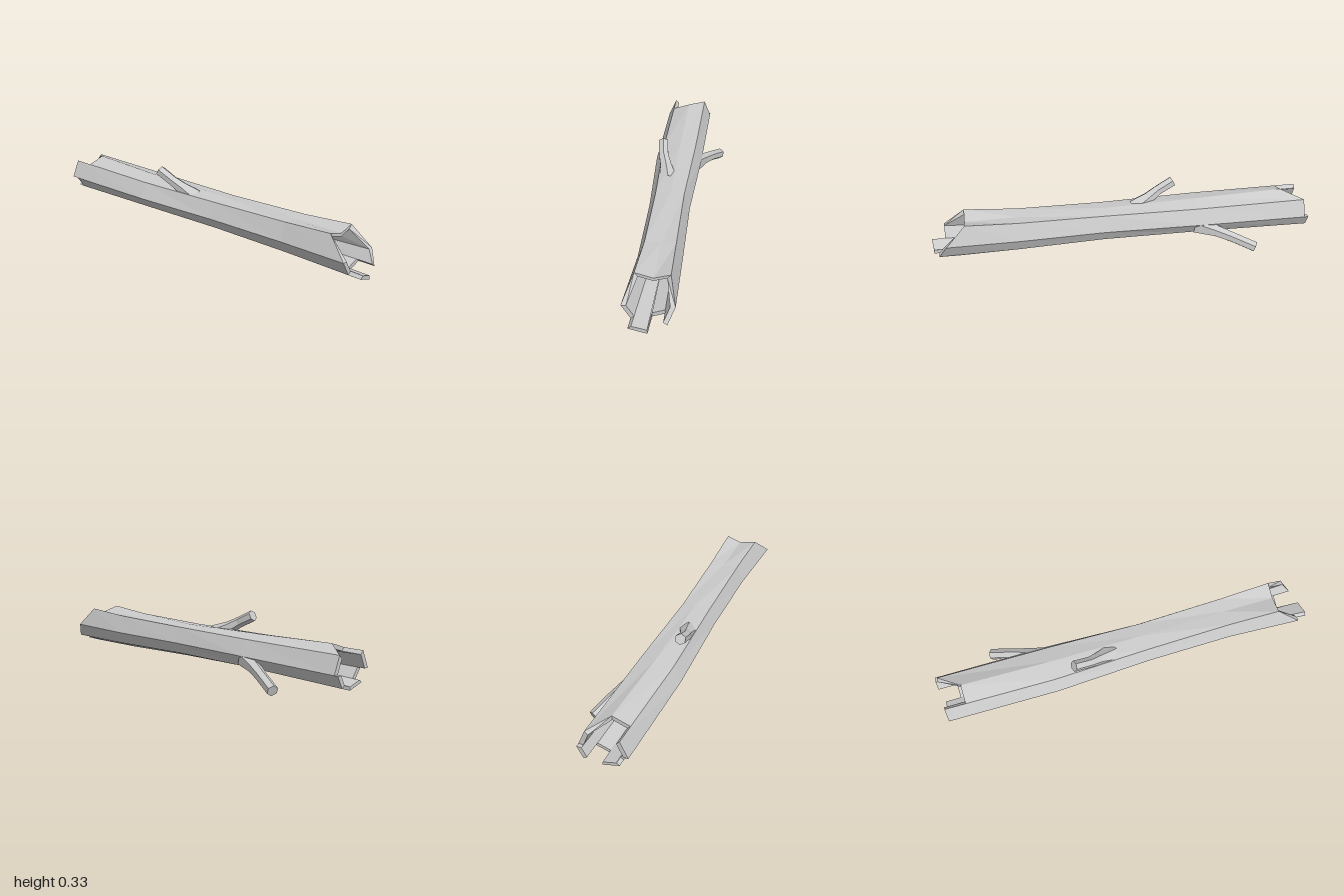
import * as THREE from 'three';

const material = new THREE.MeshStandardMaterial({ color: 0xcccccc, flatShading: true, side: THREE.DoubleSide });

// Trunk stations: x, back z, front z, bottom y, shoulder y, top ridge y
const stations = [
  [-1, -0.075, 0.175, 0.05, 0.226, 0.26],
  [-0.4, -0.072, 0.182, 0.062, 0.222, 0.24],
  [0.1, -0.055, 0.157, 0.058, 0.222, 0.23],
  [0.55, -0.065, 0.152, 0.047, 0.23, 0.225],
  [0.82, -0.075, 0.165, 0.043, 0.246, 0.222],
  [1, -0.07, 0.178, 0.042, 0.246, 0.222],
];
// Eight-sided outline: across (back 0, front 1) and up (bottom 0, shoulder 1)
const outline = [[0.14, 1], [0.47, 1], [0.84, 1], [1, 0.5], [0.82, 0.15], [0.47, 0], [0.13, 0.15], [0, 0.5]];
// Broken end of each wall panel: x at its first and second corner
const leftEnds = [[-0.98, -0.87], [-0.87, -0.87], [-0.98, -0.98], [-0.94, -0.94], [-0.98, -0.98], [-0.9, -0.9], [-1, -1], [-0.98, -0.98]];
const rightEnds = [[0.82, 0.82], [0.82, 0.82], [0.82, 0.93], [0.93, 0.93], [1, 0.99], [0.87, 0.87], [0.96, 0.92], [0.92, 0.82]];
const WALL = 0.8, FLOOR = 0.73, DEPTH = 0.62;

// Point on the trunk at corner i and position x, scaled toward the core
function trunkPoint(i, x, scale = 1) {
  i %= 8;
  let k = 0;
  while (k < stations.length - 2 && x > stations[k + 1][0]) k++;
  const a = stations[k], b = stations[k + 1];
  const t = (x - a[0]) / (b[0] - a[0]);
  const [, back, front, bottom, shoulder, ridge] = a.map((v, j) => v + (b[j] - v) * t);
  const [u, w] = outline[i];
  const z = back + (front - back) * u;
  const y = i === 1 ? ridge : bottom + (shoulder - bottom) * w;
  const cz = (back + front) / 2, cy = (bottom + shoulder) / 2;
  return new THREE.Vector3(x, cy + (y - cy) * scale, cz + (z - cz) * scale);
}

// Collects quads and triangles into one faceted mesh
function facetedMesh(name, build) {
  const points = [];
  const tri = (a, b, c) => points.push(a, b, c);
  const quad = (a, b, c, d) => { tri(a, b, c); tri(a, c, d); };
  build(quad, tri);
  const geometry = new THREE.BufferGeometry().setFromPoints(points);
  geometry.computeVertexNormals();
  const mesh = new THREE.Mesh(geometry, material);
  mesh.name = name;
  return mesh;
}

// Outer bark, one long panel per side
function bark() {
  return facetedMesh('bark', (quad) => {
    const inner = stations.slice(1, 4).map((s) => s[0]);
    for (let i = 0; i < 8; i++) {
      const a = [leftEnds[i][0], ...inner, rightEnds[i][0]];
      const b = [leftEnds[i][1], ...inner, rightEnds[i][1]];
      for (let k = 0; k < a.length - 1; k++) {
        quad(trunkPoint(i, a[k]), trunkPoint(i + 1, b[k]), trunkPoint(i + 1, b[k + 1]), trunkPoint(i, a[k + 1]));
      }
    }
  });
}

// Broken rim, hollow wall and floor of one end
function hollowEnd(name, ends, side) {
  return facetedMesh(name, (quad, tri) => {
    const deep = side * DEPTH;
    const put = side > 0 ? quad : (a, b, c, d) => quad(d, c, b, a);
    const centre = new THREE.Vector3();
    for (let i = 0; i < 8; i++) centre.addScaledVector(trunkPoint(i, deep, FLOOR), 1 / 8);
    for (let i = 0; i < 8; i++) {
      const [xa, xb] = ends[i];
      const next = ends[(i + 1) % 8][0];
      const oa = trunkPoint(i, xa), ob = trunkPoint(i + 1, xb);
      const ia = trunkPoint(i, xa, WALL), ib = trunkPoint(i + 1, xb, WALL);
      const fa = trunkPoint(i, deep, FLOOR), fb = trunkPoint(i + 1, deep, FLOOR);
      put(oa, ob, ib, ia);
      put(ia, ib, fb, fa);
      if (side > 0) tri(fa, fb, centre);
      else tri(fb, fa, centre);
      // step between neighbouring splinters
      if (next !== xb) quad(ob, ib, trunkPoint(i + 1, next, WALL), trunkPoint(i + 1, next));
    }
  });
}

// Six-sided branch stub lofted along [x, y, z, radius] sections
function branch(name, sections) {
  return facetedMesh(name, (quad, tri) => {
    const path = sections.map((s) => new THREE.Vector3(s[0], s[1], s[2]));
    const last = path.length - 1;
    const rings = path.map((p, k) => {
      const dir = path[Math.min(k + 1, last)].clone().sub(path[Math.max(k - 1, 0)]).normalize();
      const turn = new THREE.Quaternion().setFromUnitVectors(new THREE.Vector3(-1, 0, 0), dir);
      return Array.from({ length: 6 }, (_, j) => {
        const t = (j / 6) * Math.PI * 2, r = sections[k][3];
        return new THREE.Vector3(0, Math.cos(t) * r, -Math.sin(t) * r).applyQuaternion(turn).add(p);
      });
    });
    for (let j = 0; j < 6; j++) {
      const n = (j + 1) % 6;
      for (let k = 0; k < last; k++) quad(rings[k][j], rings[k + 1][j], rings[k + 1][n], rings[k][n]);
      tri(rings[last][n], rings[last][j], path[last]);
    }
  });
}

export function createModel() {
  const group = new THREE.Group();
  group.name = 'hollowLog';
  group.add(
    bark(),
    hollowEnd('leftHollowEnd', rightEnds, 1),
    hollowEnd('rightHollowEnd', leftEnds, -1),
    branch('upperBranch', [[-0.08, 0.19, 0.08, 0.055], [-0.155, 0.235, 0.1, 0.034], [-0.21, 0.268, 0.118, 0.028], [-0.293, 0.31, 0.13, 0.029]]),
    branch('lowerBranch', [[-0.4, 0.12, -0.02, 0.055], [-0.5, 0.098, -0.075, 0.033], [-0.58, 0.073, -0.112, 0.029], [-0.688, 0.031, -0.156, 0.029]]),
  );
  return group;
}
